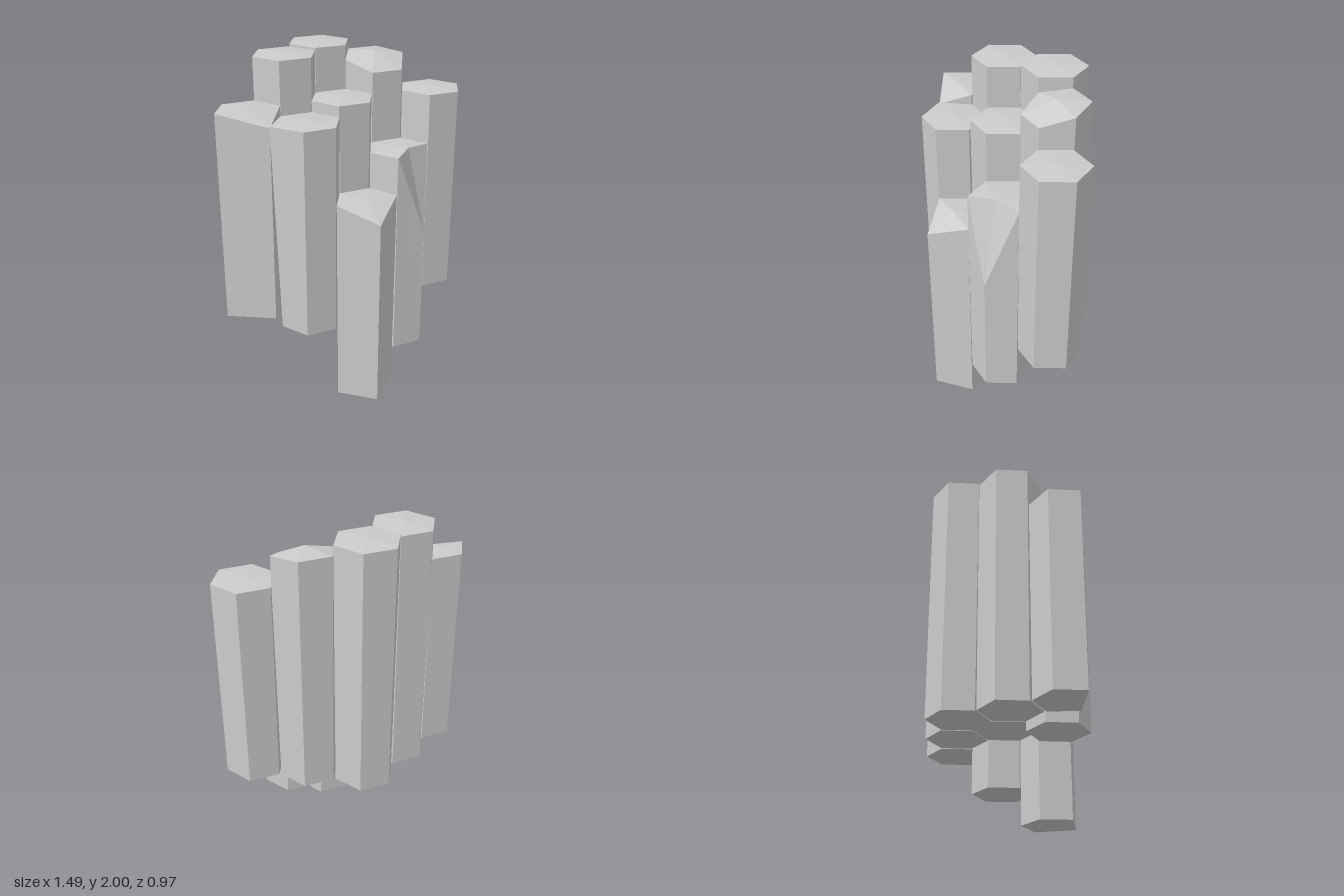
import * as THREE from 'three';

const R = 0.185;        // hexagon radius, corner 0 on +x, corner 1 towards +z
const BULGE = 0.013;    // slight dome of both caps
const material = new THREE.MeshStandardMaterial({ color: 0xcccccc, flatShading: true });

// One rock column. tops: corner -> height; shift: corner -> [x, z] at the top;
// merge: [x, z] replaces the two front corners (five-sided column); peak: cap centre.
function column(name, cx, cz, bottom, top, { tops = {}, shift = {}, merge, peak } = {}) {
  const upper = [], lower = [];
  for (let k = 0; k < 6; k++) {
    if (merge && k === 2) continue;
    const a = k * Math.PI / 3;
    let x = cx + R * Math.cos(a), z = cz + R * Math.sin(a);
    if (merge && k === 1) [x, z] = merge;
    const [tx, tz] = shift[k] ?? [x, z];
    upper.push([tx, tops[k] ?? top, tz]);
    lower.push([cx + (x - cx) * 0.97, bottom, cz + (z - cz) * 0.985]);
  }
  const topCentre = peak ?? [cx, top + BULGE, cz];
  const bottomCentre = [cx, bottom - BULGE, cz];

  const points = [];
  const n = upper.length;
  for (let i = 0; i < n; i++) {
    const j = (i + 1) % n;
    points.push(topCentre, upper[j], upper[i]);
    points.push(lower[i], upper[i], upper[j], lower[i], upper[j], lower[j]);
    points.push(bottomCentre, lower[i], lower[j]);
  }
  const geometry = new THREE.BufferGeometry();
  geometry.setAttribute('position', new THREE.Float32BufferAttribute(points.flat(), 3));
  geometry.computeVertexNormals();
  const mesh = new THREE.Mesh(geometry, material);
  mesh.name = name;
  return mesh;
}

export function createModel() {
  const group = new THREE.Group();
  group.name = 'basaltColumns';
  group.add(
    // tall back row
    column('backColumn', 0, -0.325, 0.515, 1.985),
    column('backRightColumn', -0.28, -0.165, 0.515, 1.972),
    column('backLeftColumn', 0.28, -0.165, 0.515, 1.925, {
      tops: { 0: 1.91, 1: 1.85, 2: 1.85, 3: 1.9 },
    }),
    // middle row
    column('centreColumn', 0, -0.01, 0.515, 1.73),
    column('outerLeftColumn', 0.56, 0, 0.515, 1.73),
    column('outerRightColumn', -0.56, 0, 0.515, 1.73, {
      merge: [-0.493, 0.15], tops: { 1: 1.66 },
    }),
    // front row, with chipped corners
    column('frontRightColumn', -0.28, 0.157, 0.46, 1.67, { shift: { 3: [-0.495, 0.15] } }),
    column('frontLeftColumn', 0.28, 0.157, 0.235, 1.443, {
      tops: { 1: 0.97 }, peak: [0.31, 1.456, 0.21],
    }),
    column('frontColumn', 0, 0.315, 0.015, 1.228, {
      merge: [0, 0.48], tops: { 1: 1.14 },
    }),
  );
  return group;
}
